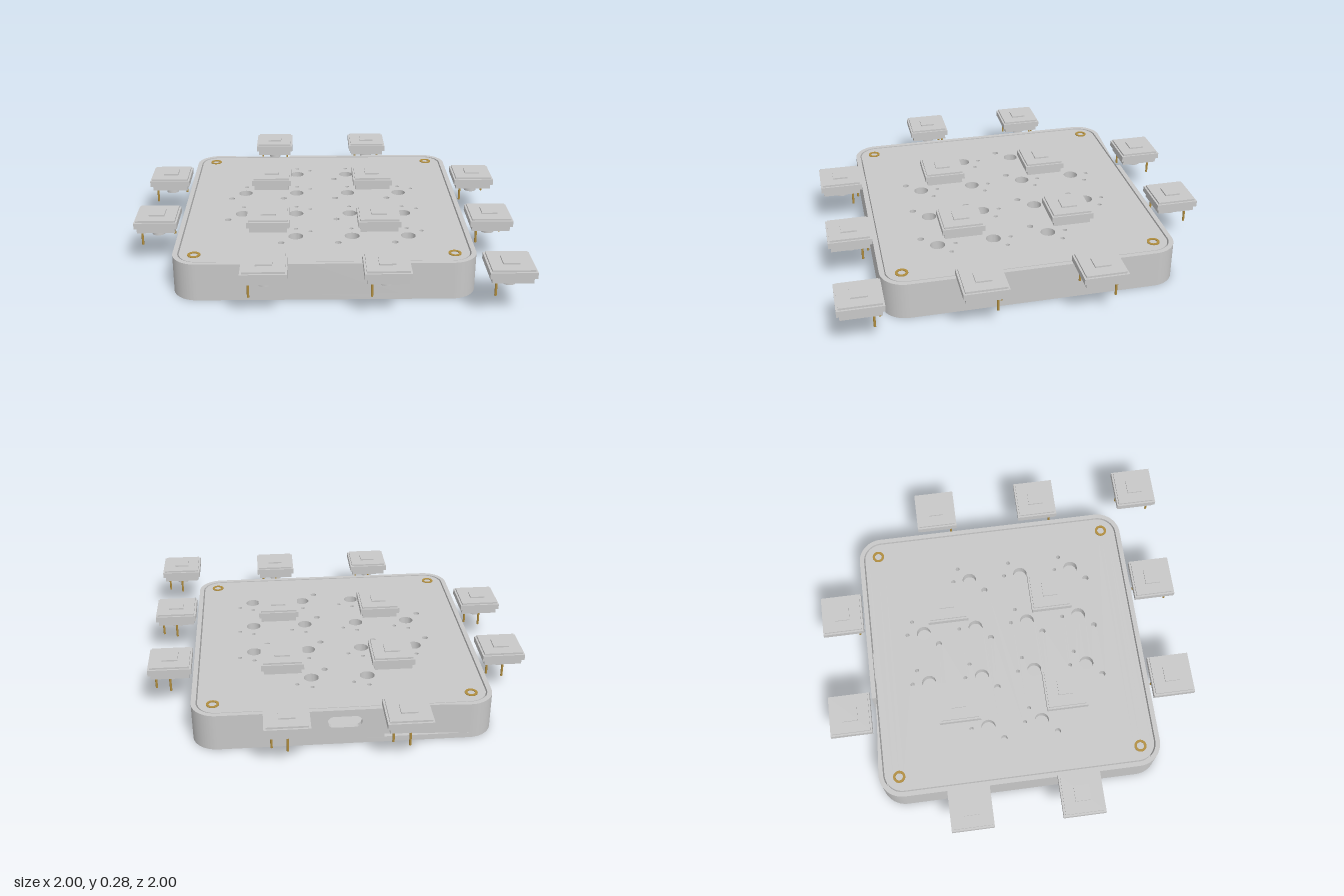
import * as THREE from 'three';
import { toCreasedNormals } from 'three/addons/utils/BufferGeometryUtils.js';

const PITCH = 0.295;             // spacing of the sockets in the plate
const SPREAD = 2 * PITCH;        // spacing of the exploded switches
const PINS = [[0, -0.093], [0.077, -0.06], [-0.075, 0.078]];
const STEPS = [-1.5, -0.5, 0.5, 1.5];

// which grid cells hold a switch
const cells = [];
STEPS.forEach((row, j) => STEPS.forEach((col, i) => {
  const empty = (j === 0 && (i === 0 || i === 3)) || (j === 3 && i === 0);
  if (!empty) cells.push([col, row]);
}));

function roundedRect(hw, hh, r) {
  const s = new THREE.Shape();
  s.absarc(hw - r, hh - r, r, 0, Math.PI / 2);
  s.absarc(-hw + r, hh - r, r, Math.PI / 2, Math.PI);
  s.absarc(-hw + r, -hh + r, r, Math.PI, Math.PI * 1.5);
  s.absarc(hw - r, -hh + r, r, Math.PI * 1.5, Math.PI * 2);
  s.closePath();
  return s;
}

function circle(x, y, r) {
  const p = new THREE.Path();
  p.absarc(x, y, r, 0, Math.PI * 2, true);
  return p;
}

// extrude a plan shape (x, -z) upwards from y0 to y1
function slab(shape, y0, y1) {
  const g = new THREE.ExtrudeGeometry(shape, { depth: y1 - y0, bevelEnabled: false, curveSegments: 16 });
  g.rotateX(-Math.PI / 2);
  g.translate(0, y0, 0);
  return toCreasedNormals(g, 0.5);
}

export function createModel() {
  const grey = new THREE.MeshStandardMaterial({ color: 0xc8c8c8 });
  grey.name = 'light grey';
  const brass = new THREE.MeshStandardMaterial({ color: 0xb08d3f });
  brass.name = 'brass';

  const model = new THREE.Group();
  model.name = 'switchPad';
  const add = (parent, name, geometry, material, x = 0, y = 0, z = 0) => {
    const m = new THREE.Mesh(geometry, material);
    m.name = name;
    m.position.set(x, y, z);
    parent.add(m);
    return m;
  };

  // case: floor, wall ring left open at the back, and the slotted back panel
  const H = 0.767, h = 0.742, R = 0.13, r = 0.105, gap = 0.2, c = H - R;
  const box = new THREE.Group();
  box.name = 'case';
  model.add(box);
  add(box, 'floor', slab(roundedRect(H, H, R), 0, 0.03), grey);

  const ring = new THREE.Shape();
  ring.moveTo(-gap, H);
  ring.absarc(-c, c, R, Math.PI / 2, Math.PI);
  ring.absarc(-c, -c, R, Math.PI, Math.PI * 1.5);
  ring.absarc(c, -c, R, Math.PI * 1.5, Math.PI * 2);
  ring.absarc(c, c, R, 0, Math.PI / 2);
  ring.lineTo(gap, H);
  ring.lineTo(gap, h);
  ring.absarc(c, c, r, Math.PI / 2, 0, true);
  ring.absarc(c, -c, r, 0, -Math.PI / 2, true);
  ring.absarc(-c, -c, r, -Math.PI / 2, -Math.PI, true);
  ring.absarc(-c, c, r, Math.PI, Math.PI / 2, true);
  ring.lineTo(-gap, h);
  ring.closePath();
  add(box, 'wall', slab(ring, 0.03, 0.2), grey);

  const panel = new THREE.Shape();
  panel.moveTo(-gap, 0.03);
  panel.lineTo(gap, 0.03);
  panel.lineTo(gap, 0.2);
  panel.lineTo(-gap, 0.2);
  panel.closePath();
  const slot = new THREE.Path();
  slot.absarc(-0.055, 0.13, 0.032, Math.PI * 1.5, Math.PI / 2, true);
  slot.absarc(0.055, 0.13, 0.032, Math.PI / 2, -Math.PI / 2, true);
  slot.closePath();
  panel.holes.push(slot);
  const panelGeo = new THREE.ExtrudeGeometry(panel, { depth: H - h, bevelEnabled: false, curveSegments: 16 });
  add(box, 'portPanel', toCreasedNormals(panelGeo, 0.5), grey, 0, 0, -H);

  // top plate with one set of socket holes per switch
  const screw = 0.657;
  const plate = roundedRect(0.735, 0.735, 0.098);
  for (const [col, row] of cells) {
    const x = col * PITCH, z = row * PITCH;
    plate.holes.push(circle(x, -z, 0.039));
    PINS.forEach(([px, pz], i) => plate.holes.push(circle(x + px, -(z + pz), i === 2 ? 0.017 : 0.011)));
  }
  for (const sx of [-1, 1]) for (const sz of [-1, 1]) plate.holes.push(circle(sx * screw, sz * screw, 0.033));
  add(model, 'topPlate', slab(plate, 0.15, 0.198), grey);

  // corner inserts: brass collar around a grey screw
  const collar = new THREE.LatheGeometry([
    [0.02, 0.1], [0.033, 0.1], [0.033, 0.202], [0.02, 0.202], [0.02, 0.1],
  ].map(([a, b]) => new THREE.Vector2(a, b)), 24);
  const collarGeo = toCreasedNormals(collar, 0.5);
  const screwGeo = new THREE.CylinderGeometry(0.02, 0.02, 0.17, 20);
  for (const sx of [-1, 1]) for (const sz of [-1, 1]) {
    add(model, 'insertCollar', collarGeo, brass, sx * screw, 0, sz * screw);
    add(model, 'screw', screwGeo, grey, sx * screw, 0.113, sz * screw);
  }

  // switches floating above the plate
  const bodyGeo = new THREE.BoxGeometry(0.2, 0.029, 0.2);
  const flangeGeo = new THREE.BoxGeometry(0.226, 0.032, 0.226);
  const coverGeo = new THREE.BoxGeometry(0.206, 0.01, 0.206);
  const buttonGeo = new THREE.BoxGeometry(0.082, 0.01, 0.082);
  const postGeo = new THREE.CylinderGeometry(0.035, 0.035, 0.045, 24);
  const pinGeo = new THREE.CylinderGeometry(0.006, 0.006, 0.077, 10);
  for (const [col, row] of cells) {
    const s = new THREE.Group();
    s.name = 'switch';
    s.position.set(col * SPREAD, 0, row * SPREAD);
    model.add(s);
    add(s, 'switchBody', bodyGeo, grey, 0, 0.2135, 0);
    add(s, 'switchFlange', flangeGeo, grey, 0, 0.244, 0);
    add(s, 'switchCover', coverGeo, grey, 0, 0.265, 0);
    add(s, 'switchButton', buttonGeo, grey, 0, 0.273, 0);
    add(s, 'switchPost', postGeo, grey, 0, 0.1775, 0);
    for (const [px, pz] of PINS) add(s, 'switchPin', pinGeo, brass, px, 0.1625, pz);
  }
  return model;
}
